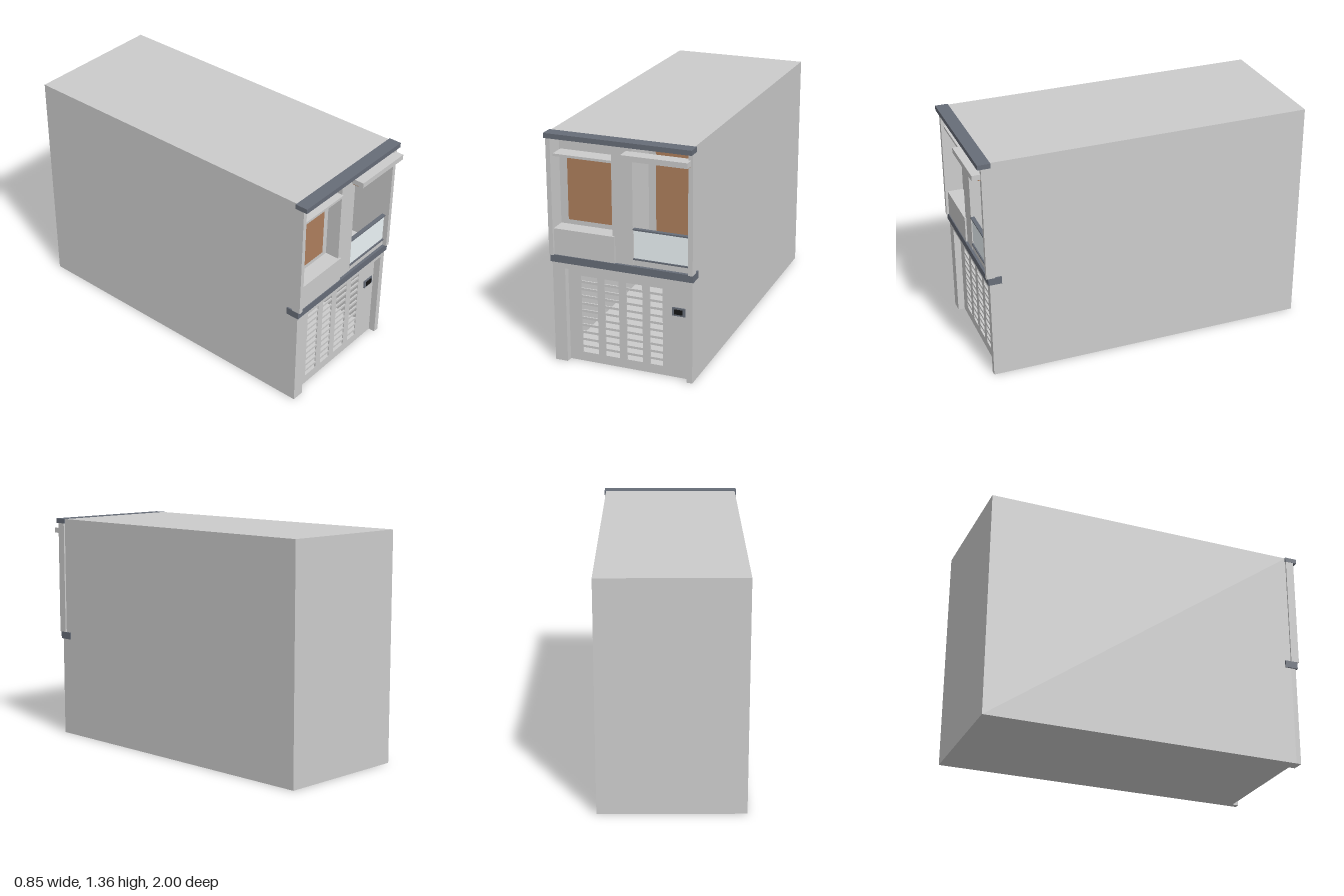
import * as THREE from 'three';

export function createModel() {
  const root = new THREE.Group();
  const mat = (color) => new THREE.MeshStandardMaterial({ color });
  const grey = mat(0xcccccc);
  const trim = mat(0x676d78);
  const brown = mat(0xae7f5d);
  const glass = mat(0xecf4f7);
  const black = mat(0x151515);

  // Box from its low and high limits on each axis
  const box = (name, [x0, x1], [y0, y1], [z0, z1], material = grey, parent = root) => {
    const mesh = new THREE.Mesh(new THREE.BoxGeometry(x1 - x0, y1 - y0, z1 - z0), material);
    mesh.position.set((x0 + x1) / 2, (y0 + y1) / 2, (z0 + z1) / 2);
    mesh.name = name;
    parent.add(mesh);
    return mesh;
  };
  const group = (name) => {
    const g = new THREE.Group();
    g.name = name;
    root.add(g);
    return g;
  };
  const rect = (path, x0, x1, y0, y1) => {
    path.moveTo(x0, y0);
    path.lineTo(x1, y0);
    path.lineTo(x1, y1);
    path.lineTo(x0, y1);
    path.closePath();
    return path;
  };

  // Hollow cabinet shell
  const shell = group('cabinetShell');
  const W = 0.415, H = 1.355;
  box('sideRight', [-W, -W + 0.01], [0, H], [-1, 0.9], grey, shell);
  box('sideLeft', [W - 0.01, W], [0, H], [-1, 0.9], grey, shell);
  box('back', [-W + 0.01, W - 0.01], [0, H], [-1, -0.99], grey, shell);
  box('floor', [-W + 0.01, W - 0.01], [0, 0.005], [-0.99, 0.89], grey, shell);
  box('roof', [-W + 0.01, W - 0.01], [1.33, H], [-0.99, 0.9], grey, shell);
  box('middleShelf', [-W + 0.01, W - 0.01], [0.606, 0.649], [-0.99, 0.9], grey, shell);

  // Lower front frame around the recessed grille
  const frame = group('lowerFrame');
  box('postRight', [-W, -0.34], [0, 0.606], [0.88, 0.93], grey, frame);
  box('postLeft', [0.38, W], [0, 0.606], [0.88, 0.93], grey, frame);
  box('header', [-0.34, 0.38], [0.57, 0.606], [0.88, 0.93], grey, frame);

  // Grille panel with four columns of slots
  const panel = rect(new THREE.Shape(), -0.34, 0.38, 0.004, 0.57);
  for (const [x0, x1] of [[-0.262, -0.164], [-0.12, -0.035], [0.01, 0.106], [0.15, 0.226]]) {
    for (let i = 0; i < 11; i++) {
      const y = 0.07 + i * 0.0437;
      panel.holes.push(rect(new THREE.Path(), x0, x1, y - 0.015, y + 0.015));
    }
  }
  const grille = new THREE.Mesh(
    new THREE.ExtrudeGeometry(panel, { depth: 0.008, bevelEnabled: false }), grey);
  grille.position.z = 0.882;
  grille.name = 'ventGrille';
  root.add(grille);

  // Power switch
  box('switchPlate', [0.283, 0.36], [0.375, 0.424], [0.889, 0.897], trim);
  box('switchButton', [0.298, 0.345], [0.386, 0.414], [0.895, 0.902], black);

  // Dark trim bands
  box('topTrim', [-0.425, 0.425], [1.328, 1.356], [0.895, 0.97], trim);
  box('middleTrim', [-0.423, 0.423], [0.605, 0.648], [0.86, 0.94], trim);

  // Upper side posts with inner liners, and the divider
  for (const s of [-1, 1]) {
    const span = (a, b) => [Math.min(s * a, s * b), Math.max(s * a, s * b)];
    box('upperPost', span(0.398, 0.424), [0.648, 1.328], [0.899, 0.95]);
    box('bayLiner', span(0.398, 0.406), [0.648, 1.331], [0.7, 0.9]);
  }
  box('divider', [-0.05, 0.07], [0.648, 1.33], [0.7, 0.925]);

  // Bay on the model's right: window, visor and hopper
  box('rightBayBack', [-0.4, -0.05], [0.648, 1.33], [0.83, 0.84]);
  box('rightWindow', [-0.35, -0.09], [0.83, 1.188], [0.838, 0.844], brown);
  box('rightVisor', [-0.39, -0.05], [1.22, 1.234], [0.84, 0.935]);
  box('hopper', [-0.398, -0.035], [0.648, 0.802], [0.84, 0.935]);

  // Deep bay on the model's left: back window, glass guard and visor
  box('leftBayBack', [0.07, 0.4], [0.648, 1.33], [0.69, 0.7]);
  box('leftWindow', [0.115, 0.358], [0.7, 1.235], [0.698, 0.705], brown);
  box('guardSill', [0.073, 0.397], [0.65, 0.682], [0.91, 0.925]);
  box('guardLowerRail', [0.071, 0.398], [0.682, 0.69], [0.905, 0.928], trim);
  box('glassGuard', [0.073, 0.397], [0.69, 0.853], [0.913, 0.92], glass);
  box('guardUpperRail', [0.071, 0.398], [0.853, 0.861], [0.905, 0.928], trim);
  box('leftVisor', [0.036, 0.414], [1.265, 1.296], [0.925, 1.0]);
  box('visorUnderside', [0.04, 0.41], [1.259, 1.265], [0.93, 0.965], brown);
  box('visorLatch', [0.215, 0.236], [1.253, 1.26], [0.94, 0.955], trim);

  return root;
}
